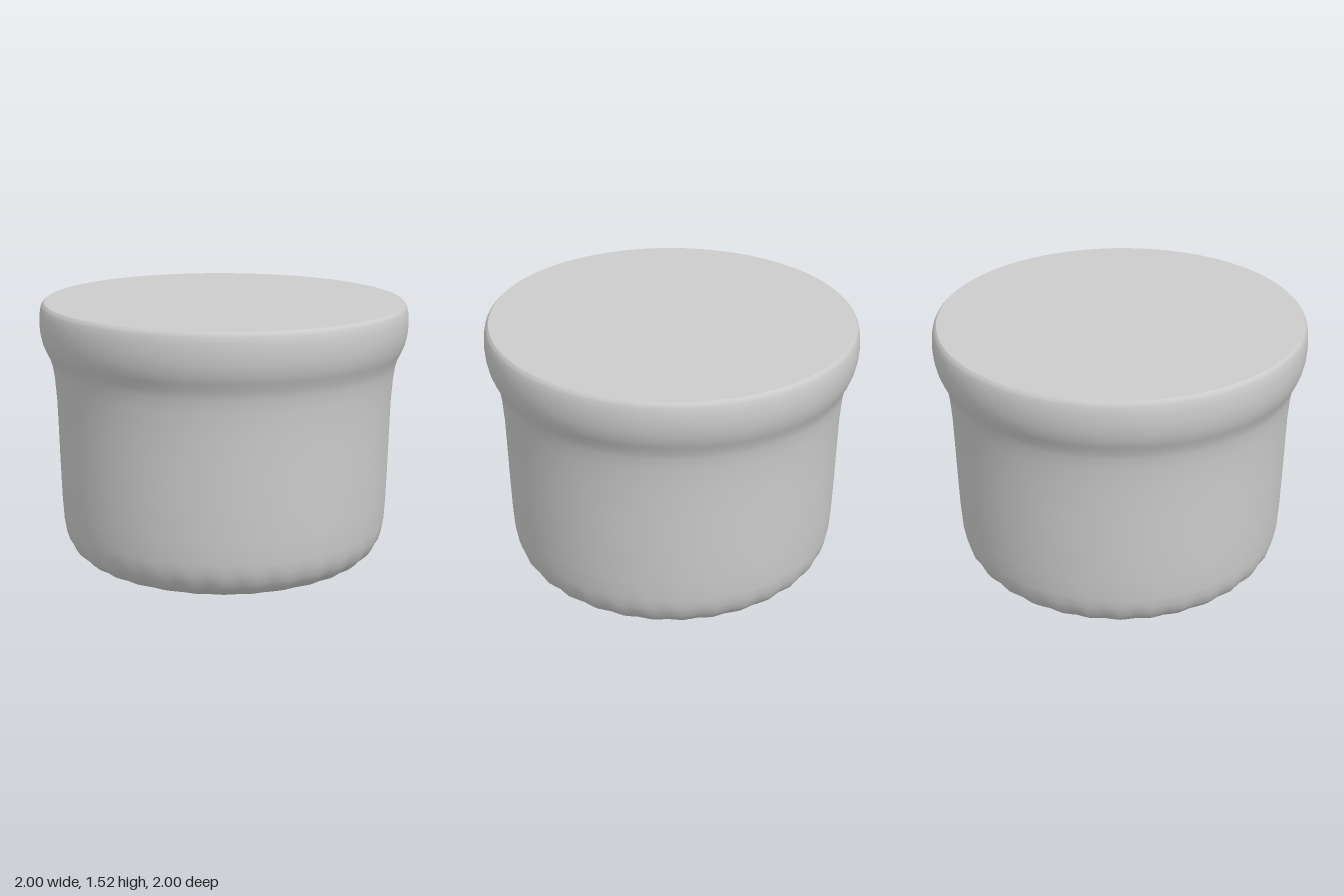
import * as THREE from 'three';
import { mergeVertices } from 'three/addons/utils/BufferGeometryUtils.js';

const SEGMENTS = 128, FLUTES = 32;
const material = new THREE.MeshStandardMaterial({ color: 0xcccccc });

// Radius and height, from the base centre up to the rim
const PROFILE = [
  [0, 0], [0.25, 0.018], [0.5, 0.038], [0.63, 0.057], [0.73, 0.082], [0.8, 0.113],
  [0.84, 0.15], [0.868, 0.19], [0.886, 0.24], [0.897, 0.3], [0.904, 0.42], [0.909, 0.6],
  [0.913, 0.8], [0.917, 0.97], [0.926, 1.1], [0.936, 1.17], [0.949, 1.215], [0.969, 1.255],
  [0.985, 1.295], [0.996, 1.345], [1, 1.4], [0.997, 1.45], [0.99, 1.485], [0.982, 1.5], [0.972, 1.51],
];

// Lathe a profile, then ripple the base corner and tip the rim slightly forward
function turned(name, profile) {
  let g = new THREE.LatheGeometry(profile.map(([r, y]) => new THREE.Vector2(r, y)), SEGMENTS);
  const p = g.attributes.position;
  for (let i = 0; i < p.count; i++) {
    const x = p.getX(i), y = p.getY(i), z = p.getZ(i);
    const band = Math.max(0, 1 - Math.abs(y - 0.14) / 0.12);
    const s = 1 + 0.009 * band * Math.cos(FLUTES * Math.atan2(x, z));
    const tilt = 0.007 * z * THREE.MathUtils.smoothstep(y, 1.3, 1.5);
    p.setXYZ(i, x * s, y + tilt, z * s);
  }
  g.deleteAttribute('uv');
  g.deleteAttribute('normal');
  g = mergeVertices(g);
  g.computeVertexNormals();
  const mesh = new THREE.Mesh(g, material);
  mesh.name = name;
  return mesh;
}

export function createModel() {
  const group = new THREE.Group();
  group.name = 'pot';
  group.add(turned('body', PROFILE));
  // Flat top with a crisp edge against the rim
  group.add(turned('topDisc', [[0.972, 1.51], [0.6, 1.511], [0, 1.511]]));
  return group;
}
